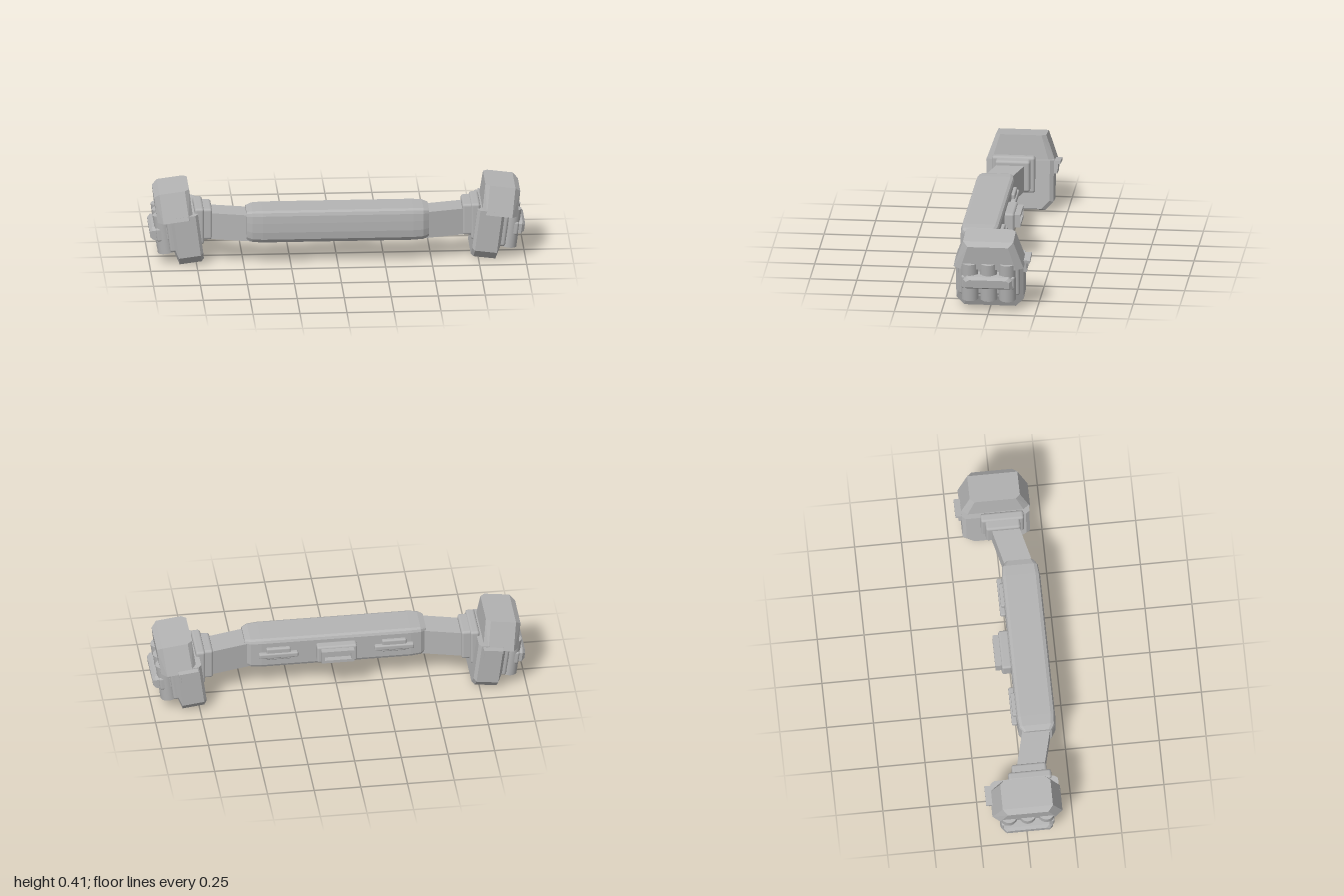
import * as THREE from 'three';
import { ConvexGeometry } from 'three/addons/geometries/ConvexGeometry.js';
import { RoundedBoxGeometry } from 'three/addons/geometries/RoundedBoxGeometry.js';

const grey = new THREE.MeshStandardMaterial({ color: 0xb4b4b4 });
grey.name = 'grey';

function add(parent, name, geometry, x = 0, y = 0, z = 0) {
  const mesh = new THREE.Mesh(geometry, grey);
  mesh.name = name;
  mesh.position.set(x, y, z);
  parent.add(mesh);
  return mesh;
}

const box = (w, h, d) => new THREE.BoxGeometry(w, h, d);
const rounded = (w, h, d, r) => new RoundedBoxGeometry(w, h, d, 2, r);
const hull = (points) => new ConvexGeometry(points.map((p) => new THREE.Vector3(...p)));

// Rectangular frame facing the back, made of four bars
function addFrame(parent, name, w, h, d, t, x, y, z) {
  for (const s of [-1, 1]) {
    add(parent, name, box(w, t, d), x, y + s * (h - t) / 2, z);
    add(parent, name, box(t, h - 2 * t, d), x + s * (w - t) / 2, y, z);
  }
}

// Padded belt: one rounded section, shrunk at both ends
function addBelt(parent) {
  const section = [
    [0, 0.15], [0, 0.285], [0.006, 0.298], [0.02, 0.305], [0.18, 0.305], [0.197, 0.297],
    [0.203, 0.28], [0.206, 0.24], [0.206, 0.19], [0.2, 0.15], [0.185, 0.13], [0.02, 0.13], [0.006, 0.137],
  ];
  const stations = [[0.4, 1, 1], [0.455, 0.97, 0.94], [0.485, 0.88, 0.74]];
  const points = [];
  for (const side of [-1, 1])
    for (const [x, sy, sz] of stations)
      for (const [z, y] of section)
        points.push([side * x, 0.2175 + (y - 0.2175) * sy, 0.108 + (z - 0.108) * sz]);
  add(parent, 'beltPad', hull(points));

  // Back buckle
  add(parent, 'backBuckleBase', rounded(0.215, 0.1, 0.055, 0.012), 0, 0.218, -0.022);
  addFrame(parent, 'backBuckleFrame', 0.175, 0.07, 0.035, 0.016, 0, 0.222, -0.064);

  // Back loops, each a long bar over a shorter plate
  for (const s of [-1, 1]) {
    add(parent, 'backLoopPlate', rounded(0.13, 0.07, 0.026, 0.008), s * 0.31, 0.225, -0.006);
    add(parent, 'backLoopBar', rounded(0.21, 0.03, 0.03, 0.008), s * 0.31, 0.218, -0.012);
    for (let i = 0; i < 8; i++)
      add(parent, 'backLoopTooth', box(0.009, 0.012, 0.012), s * 0.31 + (i - 3.5) * 0.017, 0.187, -0.003);
  }
}

// Angled strap and the bracket that holds a pouch
function addStrap(parent, s) {
  const points = [];
  for (const [x, z0, z1] of [[0.44, 0.03, 0.18], [0.69, -0.032, 0.117]])
    for (const y of [0.134, 0.278])
      for (const z of [z0, z1]) points.push([s * x, y, z]);
  add(parent, 'sideStrap', hull(points));
  add(parent, 'strapBracket', rounded(0.06, 0.172, 0.185, 0.014), s * 0.695, 0.217, 0.036);
  add(parent, 'bracketPlate', rounded(0.05, 0.2, 0.23, 0.014), s * 0.735, 0.212, 0.036);
}

// Pouch leaning outwards at the top
function addPouch(parent, s) {
  const pouch = new THREE.Group();
  pouch.name = s > 0 ? 'leftPouch' : 'rightPouch';
  pouch.position.set(s * 0.778, 0.01, 0.004);
  pouch.rotation.z = -s * 0.13;
  parent.add(pouch);

  // Body with cut lower corners and chamfered edges: u, inset, bottom
  const body = [];
  for (const [u, inset, low] of [[-0.07, 0.02, 0.008], [-0.055, 0, 0], [0.062, 0, 0], [0.08, 0.02, 0.06]])
    for (const m of [-1, 1])
      for (const [z, v] of [[0.138, low], [0.18, low + 0.045], [0.18, 0.27]])
        body.push([s * u, v, m * (z - inset)]);
  add(pouch, 'pouchBody', hull(body));

  // Lid with sloping ends: u, half width below, half width above, top
  const lid = [];
  for (const [u, low, high, top] of [[-0.042, 0.155, 0.11, 0.4], [-0.018, 0.187, 0.134, 0.4], [0.118, 0.187, 0.134, 0.4], [0.148, 0.148, 0.108, 0.38]])
    for (const m of [-1, 1])
      lid.push([s * u, 0.25, m * low], [s * u, top, m * high]);
  add(pouch, 'pouchLid', hull(lid));

  // Outer plate, three tubes and the bar across them
  add(pouch, 'outerPlate', rounded(0.04, 0.175, 0.325, 0.014), s * 0.083, 0.165, 0);
  for (let i = -1; i <= 1; i++)
    add(pouch, 'tube', new THREE.CylinderGeometry(0.045, 0.045, 0.212, 32), s * 0.123, 0.176, i * 0.1);
  add(pouch, 'tubeBand', rounded(0.075, 0.075, 0.285, 0.012), s * 0.126, 0.178, 0);
  const bar = [];
  for (const [u, h, w] of [[0.15, 0.034, 0.13], [0.18, 0.034, 0.13], [0.196, 0.022, 0.115]])
    for (const m of [-1, 1])
      bar.push([s * u, 0.186 - h, m * w], [s * u, 0.186 + h * 0.5, m * w], [s * u, 0.186 + h, m * (w - 0.018)]);
  add(pouch, 'tubeBar', hull(bar));

  // Back clasp
  add(pouch, 'claspBar', box(0.105, 0.016, 0.045), s * 0.005, 0.258, -0.192);
  add(pouch, 'claspPlate', box(0.07, 0.045, 0.025), s * 0.005, 0.23, -0.187);
  addFrame(pouch, 'claspFrame', 0.085, 0.058, 0.025, 0.012, s * 0.005, 0.224, -0.184);
}

export function createModel() {
  const model = new THREE.Group();
  model.name = 'utilityBelt';
  addBelt(model);
  for (const s of [-1, 1]) {
    addStrap(model, s);
    addPouch(model, s);
  }
  return model;
}
